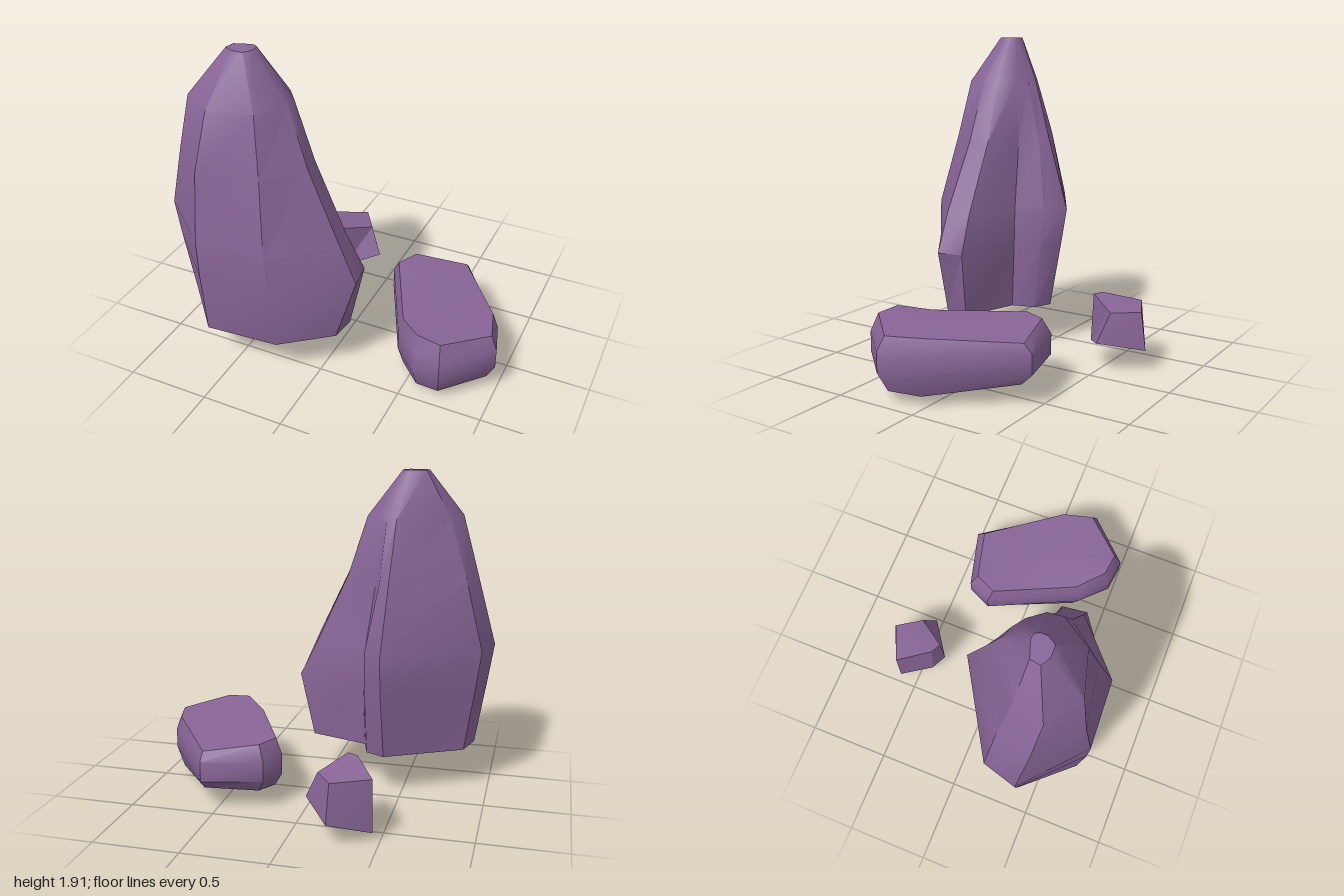
import * as THREE from 'three';
import { toCreasedNormals } from 'three/addons/utils/BufferGeometryUtils.js';

const stone = new THREE.MeshStandardMaterial({ color: 0x886597 });
stone.name = 'purple stone';

const centre = (ring) => [0, 1, 2].map((k) => ring.reduce((s, p) => s + p[k], 0) / ring.length);

// Skins a stack of rings (bottom to top) and closes both ends with fans
function rock(name, rings, bottom = centre(rings[0]), top = centre(rings.at(-1)), crease = 0.7) {
  const n = rings[0].length, pos = [];
  const tri = (...pts) => pts.forEach((p) => pos.push(...p));
  for (let i = 0; i < n; i++) {
    const j = (i + 1) % n;
    for (let r = 0; r < rings.length - 1; r++) {
      const lo = rings[r], hi = rings[r + 1];
      tri(lo[j], lo[i], hi[i]);
      tri(lo[j], hi[i], hi[j]);
    }
    tri(bottom, rings[0][i], rings[0][j]);
    tri(top, rings.at(-1)[j], rings.at(-1)[i]);
  }
  const geo = new THREE.BufferGeometry();
  geo.setAttribute('position', new THREE.Float32BufferAttribute(pos, 3));
  const mesh = new THREE.Mesh(toCreasedNormals(geo, crease), stone);
  mesh.name = name;
  return mesh;
}

export function createModel() {
  const group = new THREE.Group();
  group.name = 'rocks';

  // Tall rock: horizontal sections [x, z], from the back round by the right, with a notch at the third point
  const sections = [
    [0.25, [[-0.40, 0.0], [-0.29, 0.05], [-0.25, 0.19], [0.10, 0.30], [0.08, 0.45], [-0.20, 0.67], [-0.64, 0.70], [-0.90, 0.41], [-0.85, 0.24]]],
    [0.65, [[-0.39, -0.08], [-0.28, 0.0], [-0.24, 0.17], [0.18, 0.27], [0.20, 0.43], [-0.21, 0.72], [-0.64, 0.735], [-0.965, 0.42], [-0.91, 0.22]]],
    [0.88, [[-0.39, -0.12], [-0.28, -0.02], [-0.25, 0.17], [0.07, 0.29], [0.10, 0.43], [-0.22, 0.72], [-0.64, 0.74], [-1.0, 0.42], [-0.94, 0.21]]],
    [1.30, [[-0.41, 0.02], [-0.35, 0.06], [-0.31, 0.18], [-0.12, 0.28], [-0.10, 0.40], [-0.28, 0.62], [-0.64, 0.68], [-0.88, 0.46], [-0.83, 0.25]]],
    [1.65, [[-0.43, 0.13], [-0.37, 0.15], [-0.30, 0.20], [-0.23, 0.29], [-0.22, 0.38], [-0.33, 0.55], [-0.58, 0.62], [-0.78, 0.48], [-0.72, 0.30]]],
    [1.92, [[-0.48, 0.29], [-0.46, 0.29], [-0.44, 0.30], [-0.43, 0.32], [-0.43, 0.36], [-0.46, 0.41], [-0.53, 0.41], [-0.58, 0.38], [-0.57, 0.32]]],
  ];
  group.add(rock('tallRock', sections.map(([y, ring]) => ring.map(([x, z]) => [x, y, z]))));

  // Flat rock: outline [x, z, lower edge, upper edge], with the edges drawn in
  const outline = [
    [0.23, -0.38, 0.10, 0.39], [0.58, -0.47, 0.12, 0.35], [0.93, 0.03, 0.06, 0.385], [0.99, 0.24, 0.07, 0.38],
    [0.74, 0.50, 0.06, 0.41], [0.58, 0.48, 0.05, 0.42], [0.42, 0.32, 0.05, 0.38], [0.16, -0.23, 0.09, 0.39],
  ];
  const ring = (scale, height) => outline.map((p) =>
    [0.58 + (p[0] - 0.58) * scale, height(p), 0.02 + (p[1] - 0.02) * scale]);
  group.add(rock('flatRock', [
    ring(0.87, (p) => p[2]),
    ring(1, () => 0.18),
    ring(1, () => 0.3),
    ring(0.9, (p) => p[3]),
  ], [0.58, 0.005, 0.22], [0.58, 0.38, 0.02]));

  // Small rock: a tilted block with one corner cut off
  group.add(rock('smallRock', [
    [[-0.46, 0.05, -0.61], [-0.23, 0.13, -0.745], [-0.06, 0.18, -0.51], [-0.26, 0.12, -0.37], [-0.35, 0.10, -0.42]],
    [[-0.455, 0.36, -0.61], [-0.24, 0.355, -0.71], [-0.14, 0.35, -0.56], [-0.27, 0.41, -0.38], [-0.33, 0.41, -0.41]],
  ], undefined, undefined, 0.45));

  return group;
}
